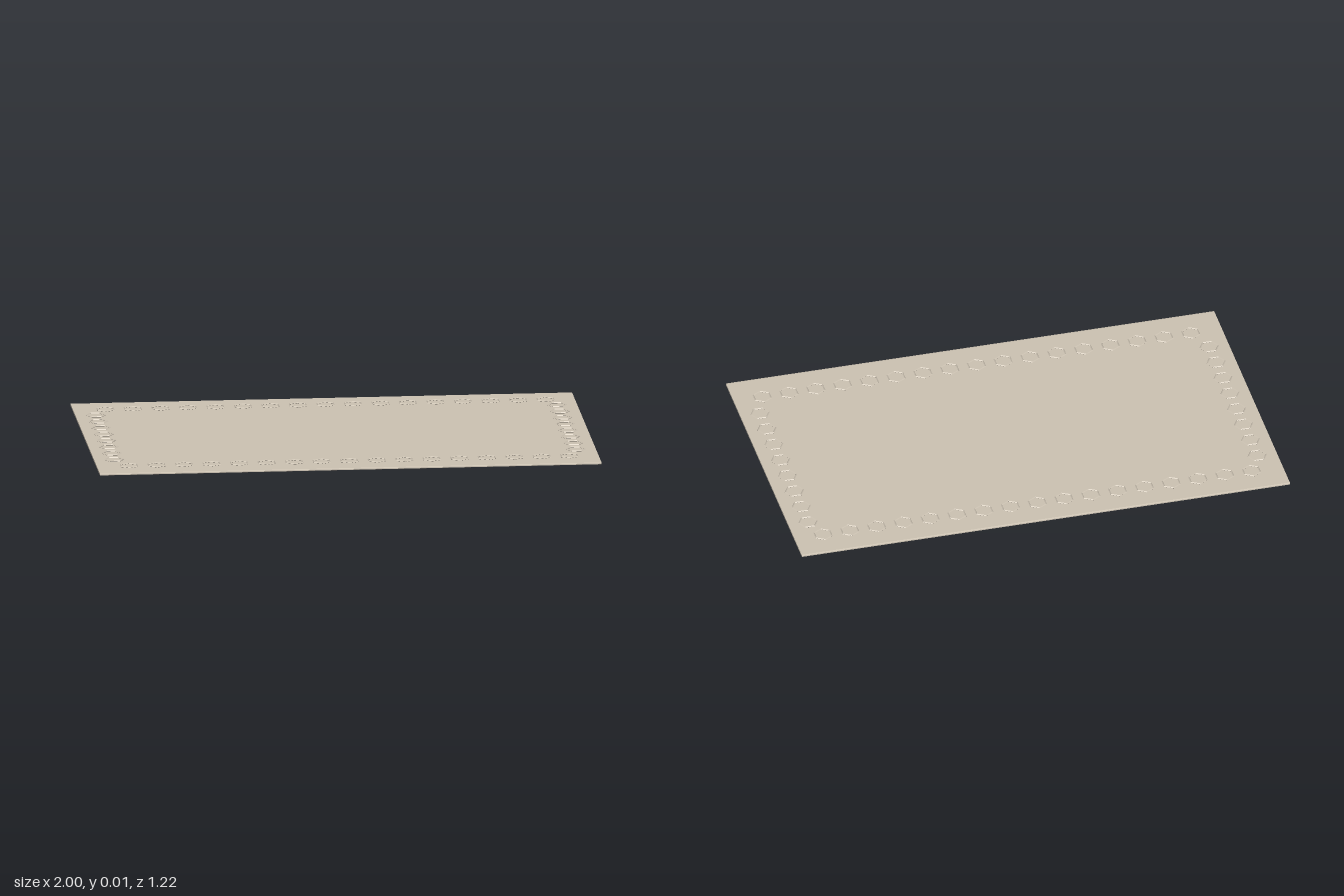
import * as THREE from 'three';

export function createModel() {
  const model = new THREE.Group();
  const material = new THREE.MeshStandardMaterial({ color: 0xcdc3b3, flatShading: true });

  // Thin mat with softly chamfered long edges, extruded along x
  const top = 0.008, halfZ = 0.61, chamfer = 0.006;
  const section = new THREE.Shape();
  section.moveTo(-halfZ + chamfer, 0);
  section.lineTo(halfZ - chamfer, 0);
  section.lineTo(halfZ, 0.002);
  section.lineTo(halfZ, 0.006);
  section.lineTo(halfZ - chamfer, top);
  section.lineTo(-halfZ + chamfer, top);
  section.lineTo(-halfZ, 0.006);
  section.lineTo(-halfZ, 0.002);
  section.closePath();
  const matGeometry = new THREE.ExtrudeGeometry(section, { depth: 2, bevelEnabled: false });
  matGeometry.translate(0, 0, -1).rotateY(Math.PI / 2);
  const mat = new THREE.Mesh(matGeometry, material);
  mat.name = 'mat';
  model.add(mat);

  // Six-sided rings lying on the mat form its border
  const ringGeometry = new THREE.TorusGeometry(0.037, 0.003, 4, 6).rotateX(Math.PI / 2);
  const border = new THREE.Group();
  border.name = 'ringBorder';
  model.add(border);
  const addRing = (name, x, z, turn) => {
    const ring = new THREE.Mesh(ringGeometry, material);
    ring.name = name;
    ring.position.set(x, 0.009, z);
    ring.rotation.y = turn;
    border.add(ring);
  };

  const step = 0.1097;
  // Long rows at the front and back
  for (let i = 0; i < 17; i++) {
    const x = -0.872 + i * step;
    addRing('frontRing', x, 0.483, Math.PI / 2);
    addRing('backRing', x, -0.49, Math.PI / 2);
  }
  // Short rows at both ends
  for (let i = 0; i < 8; i++) {
    const z = -0.394 + i * step;
    addRing('leftRing', 0.92, z, 0);
    addRing('rightRing', -0.92, z, 0);
  }
  return model;
}
